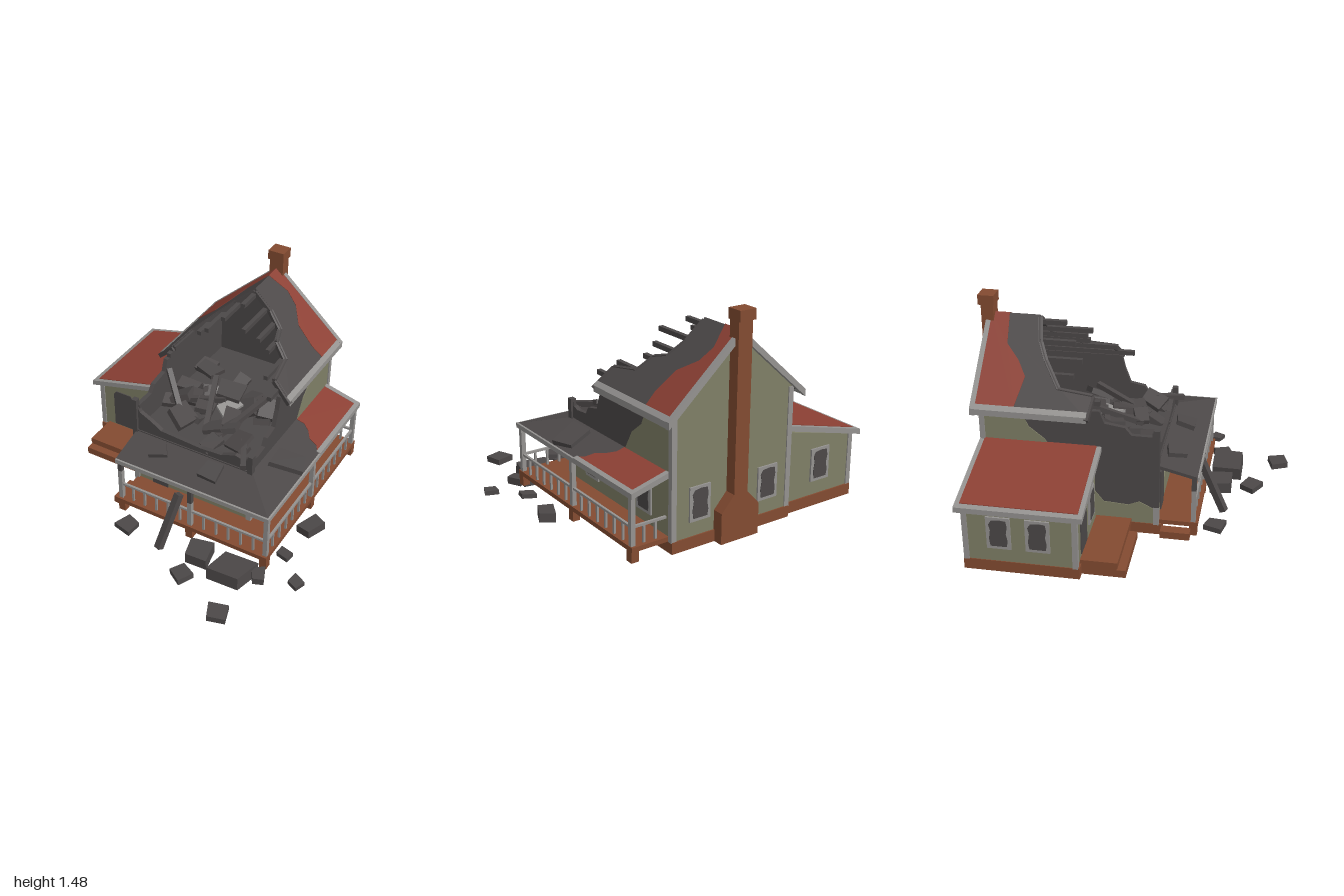
import * as THREE from 'three';

const flat = (name, color) => Object.assign(new THREE.MeshStandardMaterial({ color }), { name });

export function createModel() {
  const green = flat('wallGreen', 0x7f7f66), char = flat('charred', 0x4c4848), trim = flat('trimGrey', 0x949290);
  const red = flat('roofRed', 0x8c4034), brown = flat('brickBrown', 0x834b31);
  const model = new THREE.Group();
  model.name = 'ruinedHouse';
  let seed = 11;
  const rnd = (a, b) => {
    seed = (seed * 16807) % 2147483647;
    return a + (b - a) * seed / 2147483647;
  };

  const add = (name, geo, mat, x = 0, y = 0, z = 0) => {
    const m = new THREE.Mesh(geo, mat);
    m.name = name;
    m.position.set(x, y, z);
    model.add(m);
    return m;
  };
  const box = (name, mat, x0, x1, y0, y1, z0, z1) =>
    add(name, new THREE.BoxGeometry(x1 - x0, y1 - y0, z1 - z0), mat, (x0 + x1) / 2, (y0 + y1) / 2, (z0 + z1) / 2);
  const extrude = (pts, depth) =>
    new THREE.ExtrudeGeometry(new THREE.Shape(pts.map(p => new THREE.Vector2(...p))), { depth, bevelEnabled: false });
  // wall outline in x,y, running from z0 to z1
  const frontWall = (name, mat, pts, z0, z1) => add(name, extrude(pts, z1 - z0), mat, 0, 0, z0);
  // wall outline in z,y, running from x0 to x1
  const sideWall = (name, mat, pts, x0, x1) => add(name, extrude(pts, x1 - x0).rotateY(-Math.PI / 2), mat, x1);
  // plan outline in x,z, lifted to a height rule
  const sheet = (name, mat, pts, thick, height) => {
    const g = extrude(pts.map(([x, z]) => [x, -z]), thick).rotateX(-Math.PI / 2), p = g.attributes.position;
    for (let i = 0; i < p.count; i++) p.setY(i, p.getY(i) + height(p.getX(i), p.getZ(i)));
    g.computeVertexNormals();
    return add(name, g, mat);
  };
  const rect = (x0, x1, z0, z1) => [[x0, z0], [x1, z0], [x1, z1], [x0, z1]];
  const beam = (name, mat, a, b, w, h = w) => {
    const A = new THREE.Vector3(...a), B = new THREE.Vector3(...b);
    const m = add(name, new THREE.BoxGeometry(w, h, A.distanceTo(B)), mat);
    m.position.copy(A).lerp(B, 0.5);
    m.lookAt(B);
    return m;
  };
  // irregular broken slab
  const chunk = (name, mat, x, y, z, w, h, d, tilt = 0.1) => {
    const pts = [[-1, -1], [1, -1], [1, 1], [-1, 1]].map(([a, b]) => [a * w / 2 * rnd(0.65, 1.05), b * d / 2 * rnd(0.65, 1.05)]);
    const m = sheet(name, mat, pts, h, () => -h / 2);
    m.position.set(x, y, z);
    m.rotation.set(rnd(-tilt, tilt), rnd(-0.5, 0.5), rnd(-tilt, tilt));
    return m;
  };

  // Foundation, floors and porch deck
  box('porchDeck', brown, -0.39, 0.73, -0.88, 0.475, 0.14, 0.17).geometry.translate(0, 0, 0);
  model.remove(model.children[0]);
  box('porchDeck', brown, -0.39, 0.73, 0.14, 0.17, -0.88, 0.475);
  box('annexFloor', brown, -0.96, -0.39, 0.125, 0.142, -0.88, -0.18);
  for (const [x0, x1, z0, z1] of [[-0.41, 0.48, 0.2, 0.24], [-0.41, 0.48, -0.92, -0.88], [-0.41, -0.37, -0.9, 0.22],
    [0.44, 0.48, -0.9, 0.22], [-0.965, -0.4, -0.89, -0.85], [-0.965, -0.4, -0.21, -0.17], [-0.965, -0.925, -0.88, -0.18]])
    box('foundation', brown, x0, x1, 0.07, 0.145, z0, z1);
  for (const [x, z] of [[-0.36, 0.445], [0.16, 0.445], [0.705, 0.445], [0.705, -0.2], [0.705, -0.85]])
    box('deckFooting', brown, x - 0.025, x + 0.025, 0.07, 0.145, z - 0.025, z + 0.025);
  box('sideLanding', brown, -0.905, -0.4, 0.13, 0.17, -0.18, 0.05);
  box('sideLandingBase', brown, -0.905, -0.42, 0.07, 0.13, -0.18, 0.045);
  box('sideStep', brown, -0.905, -0.475, 0.07, 0.12, 0.045, 0.1);
  box('porchStep', brown, -0.45, -0.38, 0.07, 0.12, 0.24, 0.43);

  // Main walls: scorched shell with surviving paint
  const gable = [[-0.4, 0.14], [0.47, 0.14], [0.47, 0.93], [0.03, 1.325], [-0.4, 0.94]];
  frontWall('backWallInside', char, gable, -0.905, -0.88);
  frontWall('backWall', green, gable, -0.911, -0.905);
  frontWall('frontWall', char, [[-0.4, 0.14], [0.47, 0.14], [0.47, 0.68], [0.42, 0.64], [0.35, 0.66], [0.25, 0.62],
    [0.1, 0.61], [-0.2, 0.63], [-0.28, 0.68], [-0.36, 0.72], [-0.4, 0.8]], 0.18, 0.21);
  frontWall('frontWallPaint', green, [[-0.4, 0.14], [0.47, 0.14], [0.47, 0.27], [0.34, 0.25], [0.19, 0.3], [0.14, 0.36],
    [0.03, 0.385], [-0.06, 0.34], [-0.1, 0.3], [-0.15, 0.28], [-0.28, 0.29], [-0.4, 0.27]], 0.21, 0.215);
  box('frontDoor', char, -0.27, -0.15, 0.17, 0.45, 0.21, 0.222);
  sideWall('rightWall', char, [[-0.9, 0.14], [0.2, 0.14], [0.2, 0.66], [0.13, 0.64], [0.03, 0.65], [0, 0.7], [-0.1, 0.72],
    [-0.14, 0.83], [-0.16, 0.92], [-0.9, 0.92]], 0.44, 0.47);
  sideWall('leftWall', char, [[-0.9, 0.14], [0.2, 0.14], [0.2, 0.77], [0.05, 0.77], [0.01, 0.82], [-0.12, 0.84],
    [-0.15, 0.92], [-0.9, 0.92]], -0.4, -0.37);
  const paint = [[-0.91, 0.14], [0.2, 0.14], [0.2, 0.25], [0.1, 0.3], [0.03, 0.27], [-0.13, 0.28], [-0.2, 0.37], [-0.35, 0.42],
    [-0.42, 0.56], [-0.5, 0.7], [-0.6, 0.78], [-0.66, 0.91], [-0.91, 0.91]];
  sideWall('rightWallPaint', green, paint, 0.47, 0.475);
  sideWall('leftWallPaint', green, paint, -0.405, -0.4);
  box('upperFloor', char, -0.38, 0.45, 0.57, 0.6, -0.89, 0.19);
  for (const x of [-0.395, 0.465]) {
    box('backCornerTrim', trim, x - 0.018, x + 0.018, 0.14, 0.93, -0.918, -0.885);
    box('frontCornerTrim', trim, x - 0.018, x + 0.018, 0.14, 0.27, 0.19, 0.228);
    box('burntCornerPost', char, x - 0.018, x + 0.018, 0.27, x < 0 ? 0.82 : 0.7, 0.19, 0.228);
  }

  // Main roof with its broken front edge
  const ridge = x => 1.325 - 0.9 * Math.abs(x - 0.03);
  const edges = {
    '-1': [[0.5, -0.22], [0.38, -0.2], [0.36, -0.42], [0.22, -0.53], [0.13, -0.58], [0, -0.61]],
    '1': [[0.5, -0.17], [0.37, -0.2], [0.34, -0.4], [0.25, -0.45], [0.22, -0.55], [0.12, -0.6], [0, -0.61]]
  };
  const redEdge = {
    '-1': [[0.475, -0.68], [0.4, -0.66], [0.32, -0.64], [0.24, -0.7], [0.16, -0.79], [0, -0.81]],
    '1': [[0.475, -0.69], [0.4, -0.68], [0.28, -0.71], [0.2, -0.82], [0.12, -0.85], [0, -0.8]]
  };
  for (const s of [-1, 1]) {
    const at = pts => pts.map(([d, z]) => [0.03 + s * d, z]);
    const lift = o => x => ridge(x) + o;
    sheet('mainRoof', char, at([[0, -0.95], [0.5, -0.95], ...edges[s]]), 0.03, lift(0));
    sheet('mainRoofRed', red, at([[0, -0.93], [0.475, -0.93], ...redEdge[s]]), 0.005, lift(0.029));
    sheet('rakeTrim', trim, at(rect(0, 0.503, -0.957, -0.925)), 0.045, lift(-0.008));
    sheet('eaveTrim', trim, at(rect(0.475, 0.503, -0.955, edges[s][0][1])), 0.04, lift(-0.005));
    // charred rafters trimming the hole
    const e = at(edges[s]);
    for (let i = 0; i + 1 < e.length; i++)
      beam('brokenRoofEdge', char, [e[i][0], ridge(e[i][0]) + 0.008, e[i][1]], [e[i + 1][0], ridge(e[i + 1][0]) + 0.008, e[i + 1][1]], 0.03);
  }
  for (const [x, z] of [[-0.36, -0.15], [-0.24, -0.34], [-0.16, -0.3], [-0.07, -0.36], [0.03, -0.44], [0.12, -0.29],
    [0.2, -0.34], [0.27, -0.34], [0.35, -0.17], [0.43, -0.07]])
    box('purlin', char, x - 0.015, x + 0.015, ridge(x) - 0.03, ridge(x), -0.89, z);

  // Chimney
  frontWall('chimneyStack', brown, [[-0.11, 0.07], [0.17, 0.07], [0.17, 0.27], [0.08, 0.37], [0.08, 1.43], [-0.02, 1.43],
    [-0.02, 0.37], [-0.11, 0.27]], -0.985, -0.905);
  box('chimneyTop', brown, -0.02, 0.08, 1.3, 1.43, -0.985, -0.91);
  box('chimneyCap', brown, -0.03, 0.085, 1.42, 1.485, -1, -0.895);

  // Annex with lean-to roof
  frontWall('annex', green, [[-0.96, 0.14], [-0.4, 0.14], [-0.4, 0.62], [-0.96, 0.49]], -0.88, -0.185);
  for (const z of [-0.87, -0.195])
    box('annexCornerTrim', trim, -0.966, -0.932, 0.14, 0.495, z - 0.017, z + 0.017);
  const lean = o => x => 0.498 + 0.25 * (x + 1) + o;
  sheet('annexRoof', trim, rect(-1, -0.4, -0.92, -0.14), 0.035, lean(-0.008));
  sheet('annexRoofRed', red, rect(-0.965, -0.4, -0.89, -0.17), 0.006, lean(0.025));
  frontWall('annexDoor', char, [[-0.85, 0.175], [-0.69, 0.175], [-0.69, 0.44], [-0.71, 0.465], [-0.83, 0.465], [-0.85, 0.44]], -0.185, -0.178);

  // Windows with burnt-out panes
  const pane = [[-0.05, -0.09], [0.05, -0.09], [0.057, -0.05], [0.048, 0], [0.057, 0.05], [0.05, 0.09], [0.01, 0.095],
    [-0.04, 0.088], [-0.057, 0.06], [-0.048, 0.02], [-0.057, -0.04]];
  for (const [x, z, turn] of [[-0.555, -0.185, 0], [0.25, 0.213, 0], [0.474, -0.055, 1], [0.474, -0.635, 1], [0.28, -0.91, 2],
    [-0.23, -0.91, 2], [-0.69, -0.88, 2], [-0.96, -0.66, 3], [-0.96, -0.42, 3]]) {
    const g = new THREE.Group();
    g.name = 'window';
    g.add(add('windowFrame', new THREE.BoxGeometry(0.15, 0.22, 0.024), trim));
    g.add(add('windowPane', extrude(pane, 0.004), char, 0, 0, 0.011));
    g.position.set(x, 0.35, z);
    g.rotation.y = turn * Math.PI / 2;
    model.add(g);
  }

  // Porch roof: front slope and right slope meeting on a hip
  const frontSlope = o => (x, z) => 0.55 - 0.25 * (z - 0.2) + o;
  const rightSlope = o => x => 0.55 - 0.264 * (x - 0.47) + o;
  sheet('porchRoofFront', char, [[-0.39, 0.2], [0.47, 0.2], [0.73, 0.472], [-0.39, 0.472]], 0.022, frontSlope(0));
  sheet('porchRoofRight', char, [[0.47, 0.2], [0.47, -0.88], [0.73, -0.88], [0.73, 0.472]], 0.022, rightSlope(0));
  sheet('porchRoofRed', red, [[0.475, -0.85], [0.705, -0.85], [0.705, -0.26], [0.68, -0.3], [0.62, -0.32], [0.58, -0.38], [0.53, -0.42],
    [0.475, -0.42]], 0.005, rightSlope(0.021));
  sheet('porchBackTrim', trim, rect(0.475, 0.735, -0.885, -0.85), 0.035, rightSlope(-0.007));
  sheet('porchSideTrim', trim, rect(0.705, 0.735, -0.88, -0.25), 0.035, rightSlope(-0.007));
  sheet('porchSideFascia', trim, rect(0.724, 0.735, -0.25, 0.476), 0.03, rightSlope(-0.007));
  sheet('porchFrontFascia', trim, rect(-0.39, 0.735, 0.466, 0.477), 0.03, frontSlope(-0.007));
  box('porchRoofBeam', char, -0.39, 0.71, 0.52, 0.575, 0.185, 0.218).scale.x = 0.79;
  model.children[model.children.length - 1].position.x = 0.045;

  // Porch posts and railing
  for (const [x, z, top] of [[-0.37, 0.445, 0.4], [0.16, 0.445, 0.36], [0.71, 0.445, 0.49], [0.71, -0.2, 0.49], [0.71, -0.85, 0.49]]) {
    box('porchPost', trim, x - 0.015, x + 0.015, 0.17, top, z - 0.015, z + 0.015);
    if (top < 0.49) box('burntPostTop', char, x - 0.015, x + 0.015, top, 0.49, z - 0.015, z + 0.015);
  }
  box('frontRail', trim, -0.37, 0.71, 0.278, 0.293, 0.437, 0.453);
  box('sideRail', trim, 0.702, 0.718, 0.278, 0.293, -0.85, 0.445);
  box('backRail', trim, 0.47, 0.71, 0.278, 0.293, -0.858, -0.842);
  const baluster = (x, z) => box('baluster', trim, x - 0.007, x + 0.007, 0.17, 0.28, z - 0.007, z + 0.007);
  for (let i = 1; i < 12; i++) baluster(-0.37 + i * 0.09, 0.445);
  for (let i = 1; i < 14; i++) baluster(0.71, 0.445 - i * 0.0925);
  for (const x of [0.55, 0.63]) baluster(x, -0.85);

  // Fallen rubble: ground, porch roof, upper floor
  for (const [x, z, w, d, h] of [[-0.25, 0.57, 0.14, 0.15, 0.035], [0.29, 0.56, 0.18, 0.2, 0.08], [0.56, 0.59, 0.29, 0.24, 0.09],
    [0.71, 0.54, 0.1, 0.11, 0.05], [0.28, 0.77, 0.13, 0.12, 0.04], [0.64, 0.93, 0.13, 0.14, 0.04], [0.94, 0.48, 0.1, 0.09, 0.03],
    [0.81, -0.03, 0.12, 0.2, 0.06], [0.77, 0.29, 0.1, 0.08, 0.03]])
    chunk('groundRubble', char, x, 0.07, z, w, h, d, 0.08);
  for (const [x, y, z, w, d] of [[-0.17, 0.56, 0.3, 0.14, 0.13], [0.24, 0.555, 0.32, 0.14, 0.16], [0.6, 0.55, -0.04, 0.24, 0.2]])
    chunk('porchRoofRubble', char, x, y, z, w, 0.035, d, 0.05).rotation[z < 0 ? 'z' : 'x'] = z < 0 ? -0.26 : 0.25;
  for (let i = 0; i < 26; i++)
    chunk('floorRubble', char, rnd(-0.3, 0.38), rnd(0.61, 0.68), rnd(-0.55, 0.13), rnd(0.09, 0.2), rnd(0.025, 0.05), rnd(0.09, 0.2), 0.5);
  chunk('ceilingPiece', trim, -0.01, 0.7, -0.3, 0.13, 0.02, 0.2, 0.3);
  chunk('ceilingPiece', trim, 0.09, 0.69, -0.17, 0.1, 0.02, 0.18, 0.3);
  chunk('ceilingPiece', char, 0.05, 0.74, -0.27, 0.18, 0.03, 0.17, 0.4);
  for (const [a, b] of [[[-0.36, 0.85, -0.15], [-0.18, 0.66, 0.0]], [[-0.08, 0.8, -0.3], [0.04, 0.63, 0.05]],
    [[0.33, 0.68, 0.05], [0.44, 0.64, 0.27]], [[-0.3, 0.66, -0.1], [0.05, 0.72, -0.2]], [[0.3, 0.76, -0.3], [0.15, 0.64, 0.08]]])
    beam('fallenRafter', char, a, b, 0.035);
  beam('leaningBeam', char, [0.015, 0.02, 0.61], [0.07, 0.38, 0.435], 0.045);
  return model;
}
